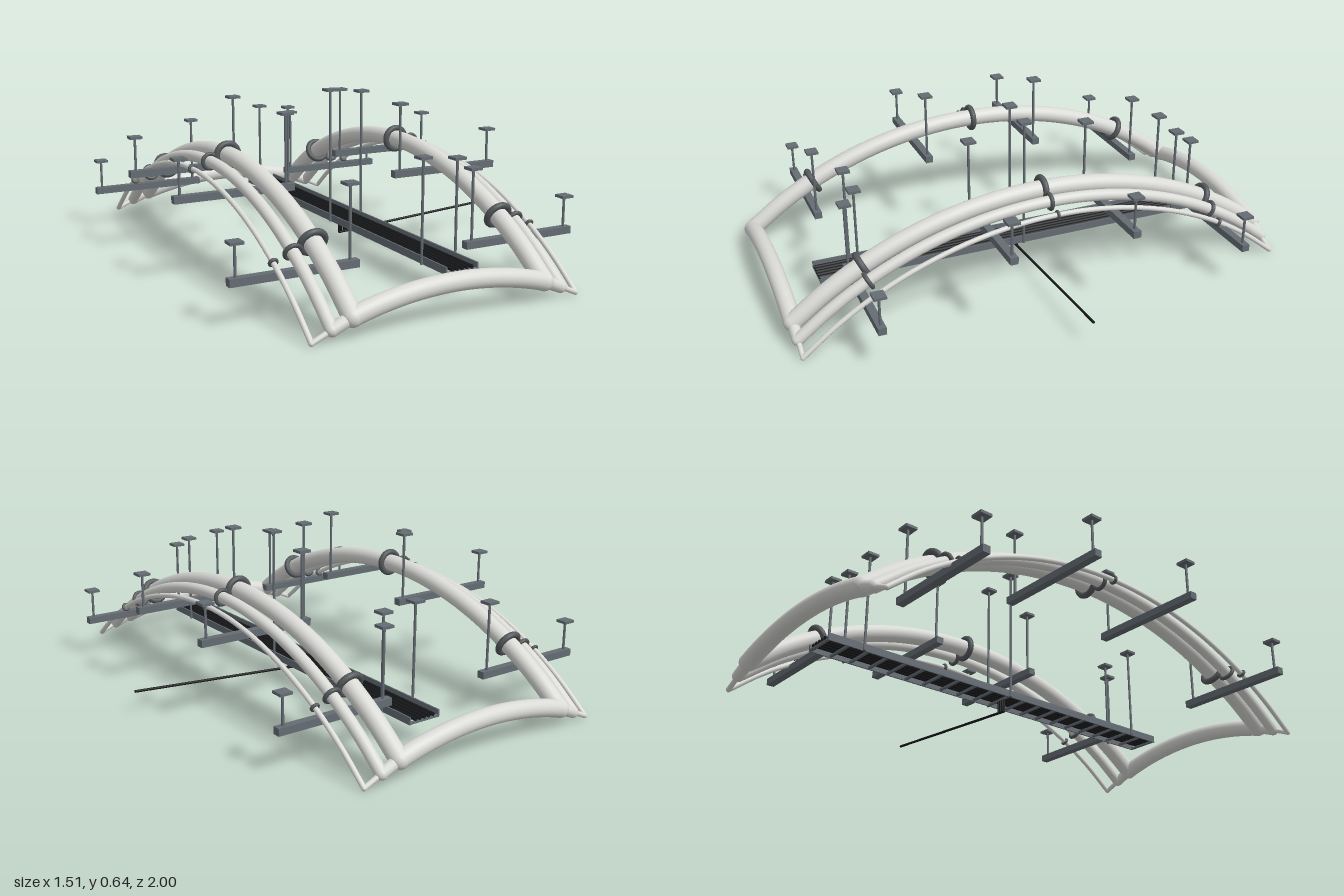
import * as THREE from 'three';

const mat = (name, color) => {
  const m = new THREE.MeshStandardMaterial({ color });
  m.name = name;
  return m;
};

export function createModel() {
  const root = new THREE.Group();
  root.name = 'archedPipeRack';
  const pipeGrey = mat('pipeGrey', 0xd9d9d6);
  const steel = mat('steel', 0x646c72);
  const flangeGrey = mat('flangeGrey', 0x54585b);
  const cableBlack = mat('cableBlack', 0x17181a);

  const add = (name, geo, material, x = 0, y = 0, z = 0, parent = root) => {
    const m = new THREE.Mesh(geo, material);
    m.name = name;
    m.position.set(x, y, z);
    parent.add(m);
    return m;
  };
  const group = (name) => {
    const g = new THREE.Group();
    g.name = name;
    root.add(g);
    return g;
  };
  const box = (name, w, h, d, material, x, y, z, parent) =>
    add(name, new THREE.BoxGeometry(w, h, d), material, x, y, z, parent);

  // Straight round bar between two points
  const bar = (name, a, b, r, material, parent) => {
    const p = new THREE.Vector3(...a), q = new THREE.Vector3(...b);
    const d = q.clone().sub(p);
    const m = add(name, new THREE.CylinderGeometry(r, r, d.length(), 12), material, 0, 0, 0, parent);
    m.position.copy(p).lerp(q, 0.5);
    m.quaternion.setFromUnitVectors(new THREE.Vector3(0, 1, 0), d.normalize());
    return m;
  };

  // Circular arch: height at distance t from the crown
  const archRadius = (half, rise) => (half * half + rise * rise) / (2 * rise);
  const archY = (t, half, peak, end) => {
    const R = archRadius(half, peak - end);
    return peak - R + Math.sqrt(R * R - t * t);
  };
  const archTube = (name, half, peak, end, r, toPoint, parent) => {
    const pts = [];
    for (let i = 0; i <= 16; i++) {
      const t = half * (i / 8 - 1);
      pts.push(toPoint(t, archY(t, half, peak, end)));
    }
    const curve = new THREE.CatmullRomCurve3(pts);
    add(name, new THREE.TubeGeometry(curve, 48, r, 24), pipeGrey, 0, 0, 0, parent);
  };

  // Three nested pipe loops
  const midX = -0.073, endZ = 0.966;
  const loops = [
    { name: 'large', half: 0.373, r: 0.034, peak: 0.415, end: 0.075, ring: 0.044, tube: 0.012 },
    { name: 'medium', half: 0.445, r: 0.022, peak: 0.397, end: 0.045, ring: 0.028, tube: 0.008 },
    { name: 'small', half: 0.515, r: 0.0095, peak: 0.375, end: 0.014, ring: 0.0125, tube: 0.006 },
  ];
  loops.forEach((p, i) => {
    const g = group(p.name + 'PipeLoop');
    for (const s of [-1, 1]) {
      const x = midX + s * p.half;
      archTube('sidePipe', endZ, p.peak, p.end, p.r, (t, y) => new THREE.Vector3(x, y, t), g);

      // Flange rings at the crown and near both ends
      const R = archRadius(endZ, p.peak - p.end);
      for (const z of [-0.7, 0, 0.7]) {
        const ring = add('flangeRing', new THREE.TorusGeometry(p.ring, p.tube, 12, 32), flangeGrey,
          x, archY(z, endZ, p.peak, p.end), z, g);
        ring.rotation.x = Math.asin(z / R);
      }

      // Corner joints, and stubs leading each outer pipe to the next inner one
      for (const z of [-endZ, endZ]) {
        add('cornerJoint', new THREE.SphereGeometry(p.r, 24, 16), pipeGrey, x, p.end, z, g);
        if (i > 0) {
          const inner = loops[i - 1];
          bar('cornerStub', [x, p.end, z], [midX + s * inner.half, inner.end, z], p.r, pipeGrey, g);
        }
      }
    }
  });
  for (const z of [-endZ, endZ])
    archTube('crossPipe', loops[0].half, 0.13, loops[0].end, 0.033, (t, y) => new THREE.Vector3(midX + t, y, z));

  // Hanging rod with ceiling plate
  const hanger = (x, z, bottom, top, parent) => {
    bar('hangerRod', [x, bottom, z], [x, top, z], 0.005, steel, parent);
    box('ceilingPlate', 0.048, 0.01, 0.046, steel, x, top - 0.005, z, parent);
  };

  // Support beams under the pipes, each hung from two rods
  for (const s of [-1, 1]) {
    for (const [z, y, outerTop, innerTop] of [
      [-0.722, 0.162, 0.295, 0.44], [-0.241, 0.325, 0.473, 0.603],
      [0.241, 0.325, 0.473, 0.603], [0.722, 0.162, 0.295, 0.44]]) {
      const g = group('pipeSupport');
      box('supportBeam', 0.467, 0.027, 0.03, steel, midX + s * 0.449, y, z, g);
      hanger(midX + s * 0.657, z, y, outerTop, g);
      hanger(midX + s * 0.245, z, y, innerTop, g);
    }
  }

  // Cable tray: rails, rungs and cables
  const tray = group('cableTray');
  const trayX = 0.066, trayLen = 1.64;
  for (const s of [-1, 1])
    box('trayRail', 0.006, 0.028, trayLen, steel, trayX + s * 0.064, 0.114, 0, tray);
  for (let i = 0; i <= 20; i++)
    box('trayRung', 0.128, 0.008, 0.01, steel, trayX, 0.105, (i / 20 - 0.5) * (trayLen - 0.01), tray);
  for (let i = 0; i < 5; i++) {
    const x = trayX + (i - 2) * 0.0195;
    bar('trayCable', [x, 0.116, -trayLen / 2], [x, 0.116, trayLen / 2], 0.007, cableBlack, tray);
  }
  for (const z of [-0.675, 0, 0.675]) {
    hanger(-0.005, z, 0.1, z ? 0.487 : 0.64, tray);
    hanger(0.137, z, 0.1, z ? 0.472 : 0.627, tray);
  }

  // Cables dropping from the tray, and the branch running out sideways
  const drop = group('branchCable');
  for (let i = 0; i < 4; i++) {
    const x = 0.037 + i * 0.011;
    bar('cableDrop', [x, 0.05, 0], [x, 0.112, 0], 0.0045, cableBlack, drop);
  }
  bar('branchRun', [0.035, 0.05, 0], [0.752, 0.1, 0], 0.005, cableBlack, drop);

  return root;
}
